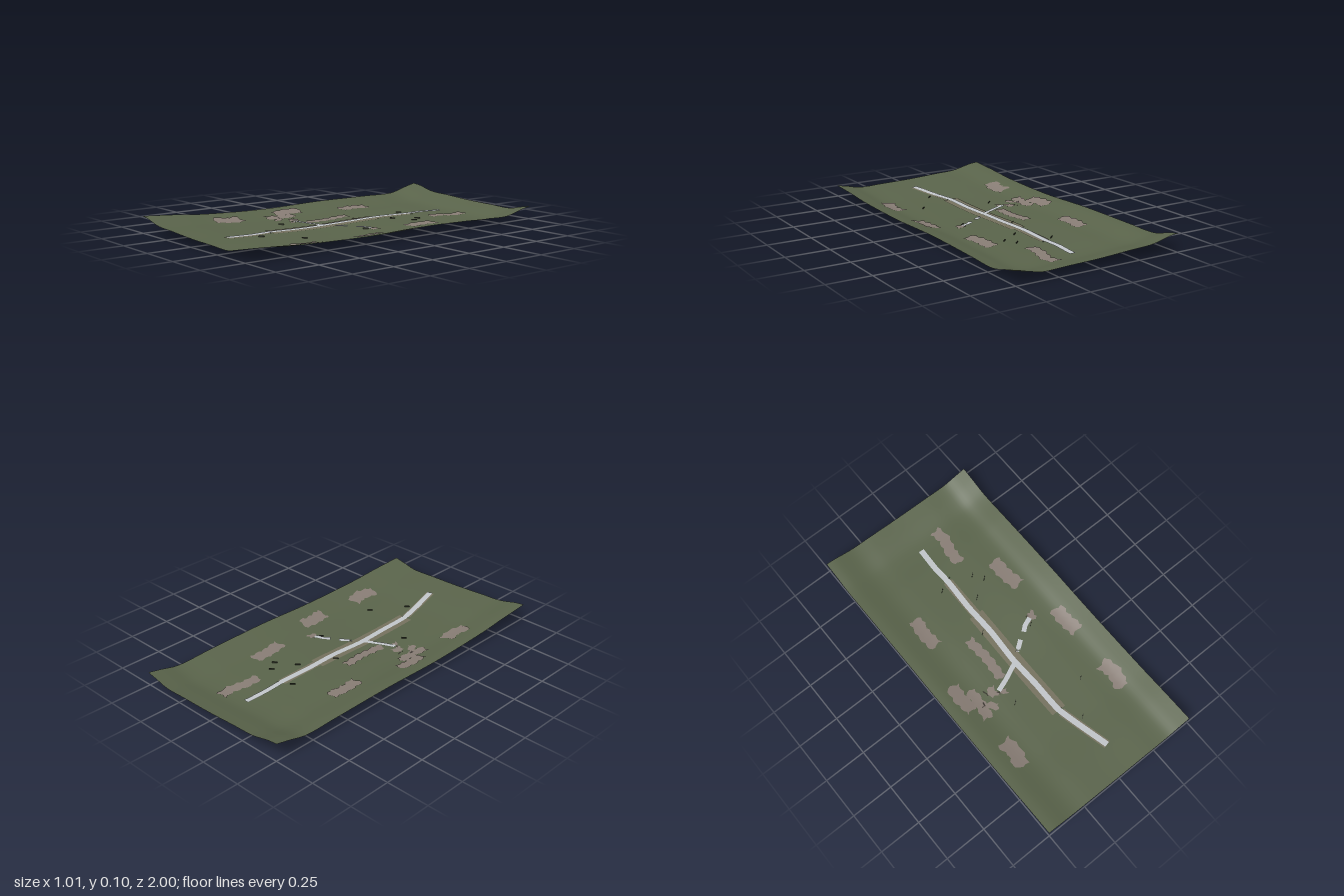
import * as THREE from 'three';

const mat = (name, color) => {
  const m = new THREE.MeshStandardMaterial({ color, side: THREE.DoubleSide });
  m.name = name;
  return m;
};
const GRASS = mat('grass', 0x59634a);
const EARTH = mat('bare earth', 0x877c74);
const VERGE = mat('path verge', 0x74705d);
const PATH = mat('pale path', 0xc0c4c8);
const TUFT = mat('dark tufts', 0x33372a);

// Smooth curve through [position, height] pairs sorted by position
function profile(pts) {
  return (t) => {
    let i = 0;
    while (i < pts.length - 2 && t > pts[i + 1][0]) i++;
    const slope = (k) => {
      const a = pts[Math.max(k - 1, 0)], b = pts[Math.min(k + 1, pts.length - 1)];
      return (b[1] - a[1]) / (b[0] - a[0]);
    };
    const [x0, y0] = pts[i], [x1, y1] = pts[i + 1];
    const d = x1 - x0, u = Math.min(1, Math.max(0, (t - x0) / d));
    const u2 = u * u, u3 = u2 * u;
    return y0 * (2 * u3 - 3 * u2 + 1) + y1 * (3 * u2 - 2 * u3)
      + d * (slope(i) * (u3 - 2 * u2 + u) + slope(i + 1) * (u3 - u2));
  };
}
const across = profile([[-0.505, 0.046], [-0.45, 0.041], [-0.33, 0.016], [-0.2, 0.011],
  [0, 0.003], [0.2, 0.001], [0.35, 0], [0.43, 0.018], [0.505, 0.034]]);
const along = profile([[-1, 0.05], [-0.92, 0.033], [-0.8, 0.006], [-0.6, 0.009], [-0.2, 0.014],
  [0.2, 0.006], [0.6, 0.016], [0.8, 0.031], [1, 0.042]]);
const ground = (x, z) => across(x) + along(z) - 0.015 * x * z * z;

// Ribbon laid over the ground along [x, z] points
function ribbon(name, material, pts, width, lift, wobble = 0) {
  const curve = new THREE.CatmullRomCurve3(pts.map(([x, z]) => new THREE.Vector3(x, 0, z)),
    false, 'catmullrom', 0.2);
  const n = Math.max(2, Math.ceil(curve.getLength() / 0.02)), cols = 4;
  const pos = [], index = [];
  for (let i = 0; i <= n; i++) {
    const p = curve.getPointAt(i / n), t = curve.getTangentAt(i / n);
    const shift = wobble * Math.sin(i * 2.1 + pts[0][0] * 20);
    for (let j = 0; j <= cols; j++) {
      const o = width * (j / cols - 0.5) + shift;
      const skew = wobble * Math.sin(j * 1.7 + pts[0][1] * 9);
      const x = p.x - t.z * o + t.x * skew, z = p.z + t.x * o + t.z * skew;
      pos.push(x, ground(x, z) + lift, z);
      if (i < n && j < cols) {
        const a = i * (cols + 1) + j, b = a + cols + 1;
        index.push(a, a + 1, b, a + 1, b + 1, b);
      }
    }
  }
  const g = new THREE.BufferGeometry();
  g.setAttribute('position', new THREE.Float32BufferAttribute(pos, 3));
  // Keep the faces turned upwards
  const up = new THREE.Vector3().subVectors(new THREE.Vector3().fromArray(pos, 3), new THREE.Vector3().fromArray(pos, 0))
    .cross(new THREE.Vector3().fromArray(pos, 3 * (cols + 1)).sub(new THREE.Vector3().fromArray(pos, 0))).y;
  g.setIndex(up > 0 ? index : index.reverse());
  g.computeVertexNormals();
  const m = new THREE.Mesh(g, material);
  m.name = name;
  return m;
}

export function createModel() {
  const model = new THREE.Group();
  model.name = 'fieldTerrain';

  // Rolling ground sheet with raised rims
  const g = new THREE.PlaneGeometry(1.01, 2, 50, 100).rotateX(-Math.PI / 2);
  const p = g.attributes.position;
  for (let i = 0; i < p.count; i++) p.setY(i, ground(p.getX(i), p.getZ(i)));
  g.computeVertexNormals();
  const sheet = new THREE.Mesh(g, GRASS);
  sheet.name = 'ground';
  model.add(sheet);

  // Bare earth patches
  [
    [[[0.13, -0.81], [0.145, -0.74], [0.12, -0.64], [0.12, -0.56]], 0.065],
    [[[-0.305, -0.43], [-0.32, -0.33], [-0.31, -0.23]], 0.075],
    [[[0.28, -0.44], [0.28, -0.33], [0.3, -0.23]], 0.08],
    [[[-0.39, 0.02], [-0.4, 0.1], [-0.385, 0.2]], 0.075],
    [[[-0.33, 0.1], [-0.33, 0.19], [-0.345, 0.29]], 0.06],
    [[[-0.32, 0.21], [-0.26, 0.27]], 0.04],
    [[[-0.145, -0.14], [-0.13, 0], [-0.14, 0.15]], 0.055],
    [[[0.37, 0.02], [0.365, 0.1], [0.38, 0.2]], 0.08],
    [[[-0.37, 0.45], [-0.355, 0.53], [-0.38, 0.62]], 0.085],
    [[[0.355, 0.44], [0.375, 0.52], [0.35, 0.62]], 0.08],
    [[[-0.27, 0.18], [-0.21, 0.185]], 0.06],
    [[[-0.21, 0.22], [-0.165, 0.225]], 0.03],
    [[[0.205, -0.035], [0.255, -0.035]], 0.05],
  ].forEach(([pts, w]) => model.add(ribbon('earthPatch', EARTH, pts, w, 0.004, 0.007)));

  // Worn verges beside the long path
  model.add(ribbon('wideVerge', VERGE, [[-0.012, -0.24], [-0.014, 0.1], [-0.012, 0.5]], 0.092, 0.003));
  model.add(ribbon('narrowVerge', VERGE, [[-0.01, -0.52], [-0.012, -0.24]], 0.058, 0.003));
  model.add(ribbon('bendVerge', VERGE, [[-0.01, 0.5], [0.064, 0.82]], 0.05, 0.003));

  // Long path with a bend, then the broken crossing path
  model.add(ribbon('mainPath', PATH, [[-0.008, -0.76], [-0.015, -0.62], [-0.01, -0.5], [-0.018, -0.3],
    [-0.012, -0.1], [-0.02, 0.1], [-0.012, 0.3], [-0.01, 0.5], [0.064, 0.82]], 0.034, 0.006));
  [
    [[-0.2, 0.2], [-0.13, 0.175], [-0.02, 0.125]],
    [[0.03, 0.085], [0.09, 0.04]],
    [[0.135, 0.015], [0.165, -0.01], [0.215, -0.03]],
  ].forEach((pts) => model.add(ribbon('crossPath', PATH, pts, 0.027, 0.006)));

  // Small dark tufts
  [[-0.07, -0.48], [0.13, -0.45], [0.06, -0.32], [0.17, -0.39], [-0.05, -0.13],
    [0.2, 0], [0.07, 0.61], [0.21, 0.43], [-0.17, 0.31]].forEach(([x, z]) => {
    const t = new THREE.Mesh(new THREE.BoxGeometry(0.03, 0.008, 0.003), TUFT);
    t.position.set(x, ground(x, z) + 0.003, z);
    t.rotation.y = 0.7;
    t.name = 'tuft';
    model.add(t);
  });
  return model;
}
